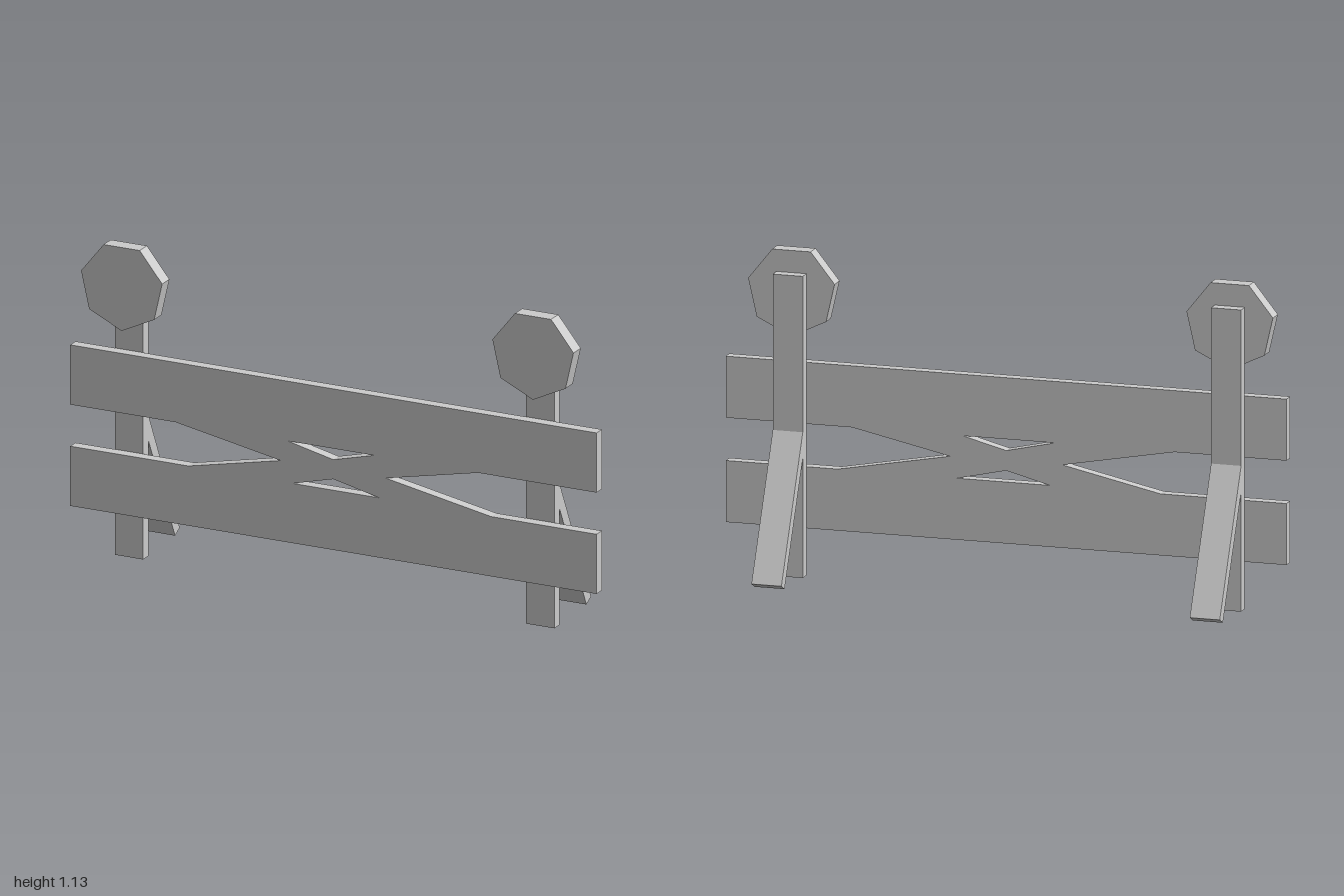
import * as THREE from 'three';

const material = new THREE.MeshStandardMaterial({ color: 0xcccccc, flatShading: true });
const POST_WIDTH = 0.107;

function addMesh(parent, name, geometry, x = 0, y = 0, z = 0) {
  const mesh = new THREE.Mesh(geometry, material);
  mesh.name = name;
  mesh.position.set(x, y, z);
  parent.add(mesh);
  return mesh;
}

const toPoints = (pairs) => pairs.map(([x, y]) => new THREE.Vector2(x, y));

function extrude(shape, depth) {
  return new THREE.ExtrudeGeometry(shape, { depth, bevelEnabled: false });
}

// Two planks joined by a shallow X brace, drawn around the panel's centre.
function panelGeometry() {
  const half = [[-1, 0.29], [-1, 0.075], [-0.6, 0.075], [-0.2, 0], [-0.55, -0.075], [-1, -0.075], [-1, -0.29]];
  const turn = ([x, y]) => [-x, -y];
  const shape = new THREE.Shape(toPoints([...half, ...half.map(turn)]));
  // Small triangular gaps above and below the crossing
  const gap = [[-0.175, 0.075], [0.155, 0.075], [0, 0.035]];
  for (const hole of [gap, gap.map(turn)]) shape.holes.push(new THREE.Path(toPoints(hole)));
  return extrude(shape, 0.04);
}

// Slanted rear leg: side profile in (z, y), extruded across the post's width.
function legGeometry() {
  const profile = [[-0.165, 0.027], [-0.13, 0.009], [0.073, 0.418], [0.073, 0.51]];
  const geometry = extrude(new THREE.Shape(toPoints(profile)), POST_WIDTH);
  geometry.rotateY(-Math.PI / 2);
  geometry.translate(POST_WIDTH / 2, 0, 0);
  return geometry;
}

export function createModel() {
  const model = new THREE.Group();
  model.name = 'barricade';

  addMesh(model, 'plankPanel', panelGeometry(), 0, 0.455, 0.113);

  // Post, rear leg and seven-sided lamp on each side
  for (const [side, x] of [['left', 0.766], ['right', -0.797]]) {
    const support = new THREE.Group();
    support.name = `${side}Support`;
    support.position.x = x;
    addMesh(support, 'post', new THREE.BoxGeometry(POST_WIDTH, 1.055, 0.04), 0, 0.5275, 0.093);
    addMesh(support, 'rearLeg', legGeometry());
    const lamp = new THREE.CylinderGeometry(0.158, 0.158, 0.055, 7).rotateX(Math.PI / 2);
    addMesh(support, 'lamp', lamp, 0, 0.99, 0.1405);
    model.add(support);
  }
  return model;
}
